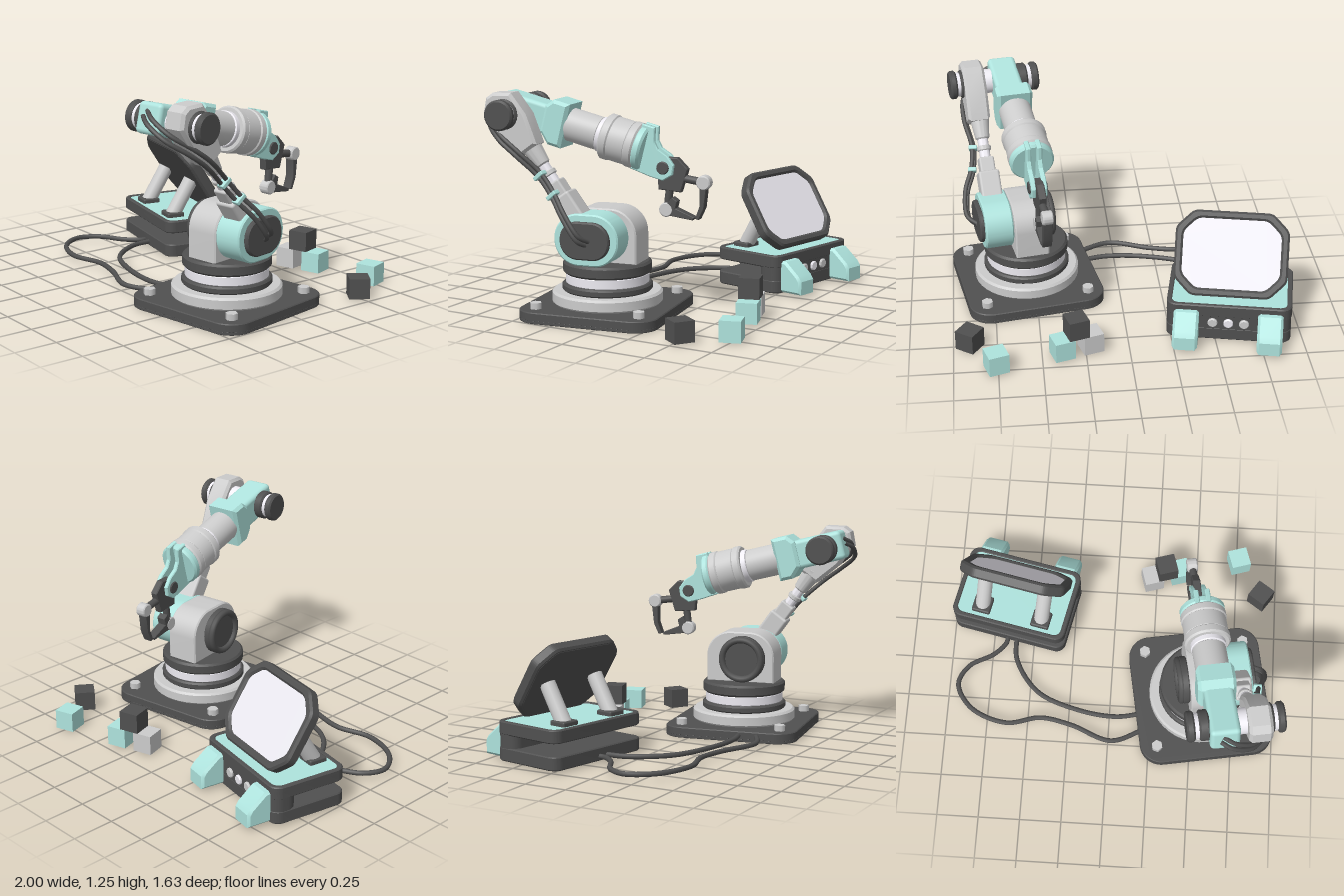
import * as THREE from 'three';
import { toCreasedNormals } from 'three/addons/utils/BufferGeometryUtils.js';
import { RoundedBoxGeometry } from 'three/addons/geometries/RoundedBoxGeometry.js';

const mat = (color) => new THREE.MeshStandardMaterial({ color });
const GREY = mat(0xcccccc), DARK = mat(0x505050), TEAL = mat(0xaee3dd), LIGHT = mat(0xeeecf3);
const V = (x, y, z) => new THREE.Vector3(x, y, z);

function add(parent, name, geo, material, x = 0, y = 0, z = 0) {
  const m = new THREE.Mesh(geo, material);
  m.name = name;
  m.position.set(x, y, z);
  parent.add(m);
  return m;
}
function group(parent, name, x, y, z, rx = 0, ry = 0) {
  const g = new THREE.Group();
  g.name = name;
  g.position.set(x, y, z);
  g.rotation.set(rx, ry, 0);
  parent.add(g);
  return g;
}
function rounded(w, h, r, cx = 0, cy = 0) {
  const s = new THREE.Shape(), x = w / 2 - r, y = h / 2 - r;
  s.absarc(cx + x, cy + y, r, 0, Math.PI / 2);
  s.absarc(cx - x, cy + y, r, Math.PI / 2, Math.PI);
  s.absarc(cx - x, cy - y, r, Math.PI, Math.PI * 1.5);
  s.absarc(cx + x, cy - y, r, Math.PI * 1.5, Math.PI * 2);
  return s;
}
function withHole(shape, hole) {
  shape.holes.push(hole);
  return shape;
}
const poly = (pts) => new THREE.Shape(pts.map((p) => new THREE.Vector2(p[0], p[1])));
// octagon of half-sizes w and h, its corners softened by a short curve
function octagon(w, h, c, k = 0.03) {
  const s = new THREE.Shape();
  const p = [[w - c, h], [c - w, h], [-w, h - c], [-w, c - h], [c - w, -h], [w - c, -h], [w, c - h], [w, h - c]].map((q) => new THREE.Vector2(...q));
  p.forEach((q, i) => {
    const a = p[(i + 7) % 8].clone().sub(q).setLength(k).add(q), b = p[(i + 1) % 8].clone().sub(q).setLength(k).add(q);
    if (i) s.lineTo(a.x, a.y); else s.moveTo(a.x, a.y);
    s.quadraticCurveTo(q.x, q.y, b.x, b.y);
  });
  return s;
}
// bevelled extrusion along z, starting at z = 0
function extrude(shape, depth, b = 0.008) {
  const g = new THREE.ExtrudeGeometry(shape, {
    depth: depth - 2 * b, bevelEnabled: b > 0, bevelSize: b, bevelThickness: b, bevelOffset: -b, bevelSegments: 1, curveSegments: 10,
  });
  return toCreasedNormals(g.translate(0, 0, b), 0.5);
}
// horizontal plate between two heights
const slab = (shape, y0, y1, b) => extrude(shape, y1 - y0, b).rotateX(-Math.PI / 2).translate(0, y0, 0);
// side profile given as (z, y), running from x0 to x1
const side = (shape, x0, x1, b) => extrude(shape, x1 - x0, b).rotateY(-Math.PI / 2).translate(x1, 0, 0);
// bevelled cylinder along y, and the same turned along x or -z
function drum(r, y0, y1, b = 0.01, r1 = r) {
  const p = [[0, y0], [r - b, y0], [r, y0 + b], [r1, y1 - b], [r1 - b, y1], [0, y1]];
  return toCreasedNormals(new THREE.LatheGeometry(p.map((q) => new THREE.Vector2(...q)), 40), 0.5);
}
const drumX = (r, x0, x1, b) => drum(r, x0, x1, b).rotateZ(-Math.PI / 2);
const drumZ = (r, d0, d1, b) => drum(r, d0, d1, b).rotateX(-Math.PI / 2);
const rod = (a, b, r) => new THREE.TubeGeometry(new THREE.LineCurve3(a, b), 1, r, 16);
const cable = (pts, r) => new THREE.TubeGeometry(new THREE.CatmullRomCurve3(pts), 90, r, 8);

function buildArm(root) {
  const arm = group(root, 'robotArm', 0.55, 0, 0.16, 0, 0.175);

  // base plate with hollow underside, bolts and turntable
  add(arm, 'basePlate', slab(rounded(0.81, 0.81, 0.13), 0.015, 0.065, 0.005), DARK);
  const well = new THREE.Path().absarc(0, 0, 0.35, 0, Math.PI * 2);
  add(arm, 'baseRim', slab(withHole(rounded(0.81, 0.81, 0.13), well), 0.002, 0.022, 0.003), DARK);
  for (const x of [-0.305, 0.305]) for (const z of [-0.305, 0.305])
    add(arm, 'baseBolt', new THREE.CylinderGeometry(0.034, 0.034, 0.04, 6), GREY, x, 0.08, z);
  add(arm, 'baseRing', drum(0.312, 0.063, 0.137, 0.012), GREY);
  add(arm, 'lowerTurntable', drum(0.255, 0.135, 0.18), DARK);
  add(arm, 'bearingRing', drum(0.236, 0.18, 0.235, 0.004), LIGHT);
  add(arm, 'upperTurntable', drum(0.25, 0.235, 0.305, 0.012), DARK);

  // shoulder: arched block, dished side disc and oval motor cover
  const arch = new THREE.Shape();
  arch.moveTo(-0.21, 0.3).lineTo(0.21, 0.3).lineTo(0.21, 0.46);
  arch.absarc(0.06, 0.46, 0.15, 0, Math.PI / 2);
  arch.absarc(-0.06, 0.46, 0.15, Math.PI / 2, Math.PI);
  add(arm, 'shoulderBlock', side(arch, -0.1, 0.1), GREY);
  add(arm, 'shoulderDisc', drumX(0.14, -0.145, -0.095), DARK, 0, 0.45, 0.02);
  add(arm, 'shoulderDiscRim', new THREE.TorusGeometry(0.12, 0.02, 10, 40).rotateY(Math.PI / 2), DARK, -0.147, 0.45, 0.02);
  add(arm, 'motorCover', side(rounded(0.378, 0.29, 0.143), 0.1, 0.265), TEAL, 0, 0.458, 0.02);
  add(arm, 'motorCap', side(rounded(0.29, 0.21, 0.1), 0.26, 0.292), DARK, 0, 0.458, 0.02);

  // upper arm, leaning forward from shoulder to elbow
  const upper = group(arm, 'upperArm', 0.18, 0.46, 0.02, 0.627);
  add(upper, 'upperArmSleeve', new RoundedBoxGeometry(0.125, 0.24, 0.12, 2, 0.015), GREY, 0, 0.165, 0);
  add(upper, 'upperArmStep', new RoundedBoxGeometry(0.09, 0.1, 0.09, 2, 0.012), GREY, 0, 0.32, 0);
  add(upper, 'upperArmRod', drum(0.032, 0.36, 0.6, 0.004), LIGHT);
  add(upper, 'rodCollar', drum(0.042, 0.41, 0.44, 0.005), GREY);
  add(upper, 'upperArmCone', drum(0.042, 0.48, 0.64, 0.008, 0.06), GREY);
  add(upper, 'elbowHousing', side(poly([[-0.06, -0.24], [0.06, -0.24], [0.105, -0.07], [0.105, 0.074], [0.04, 0.135],
    [-0.01, 0.135], [-0.1, 0.074], [-0.105, -0.07]]), -0.065, 0.065, 0.016), GREY, 0.007, 0.827, 0);

  // elbow axle and paired end discs
  const ey = 1.13, ez = 0.505;
  add(arm, 'elbowAxle', drumX(0.072, -0.17, 0.3, 0.004), LIGHT, 0, ey, ez);
  for (const [name, x0, x1] of [['elbowDiscOuterRight', -0.205, -0.16], ['elbowDiscInnerRight', -0.138, -0.08],
    ['elbowDiscInnerLeft', 0.245, 0.268], ['elbowDiscOuterLeft', 0.288, 0.33]])
    add(arm, name, drumX(0.085, x0, x1), DARK, 0, ey, ez);

  // forearm, sloping down toward the back
  const fore = group(arm, 'forearm', -0.008, ey, ez, -0.25);
  add(fore, 'elbowBlock', new RoundedBoxGeometry(0.165, 0.17, 0.32, 2, 0.025), TEAL, 0.004, 0, -0.045);
  add(fore, 'forearmCollar', side(poly([[-0.3, -0.13], [-0.22, -0.13], [-0.16, -0.07], [-0.16, 0.08], [-0.2, 0.125], [-0.3, 0.125]]),
    -0.105, 0.105, 0.018), TEAL);
  add(fore, 'forearmTube', drumZ(0.095, 0.28, 0.49), GREY);
  add(fore, 'forearmRing', drumZ(0.1, 0.485, 0.52, 0.004), LIGHT);
  add(fore, 'forearmDrum', drumZ(0.13, 0.515, 0.57), GREY);
  add(fore, 'forearmBarrel', drumZ(0.125, 0.565, 0.67, 0.004), GREY);
  add(fore, 'forearmLip', drumZ(0.13, 0.665, 0.72), GREY);
  add(fore, 'wristCap', drumZ(0.128, 0.715, 0.765, 0.012), TEAL);
  const fork = poly([[-0.72, 0.135], [-0.795, 0.135], [-0.81, 0.06], [-0.84, 0.025], [-0.9, 0.005], [-0.95, -0.035], [-0.955, -0.09], [-0.91, -0.135], [-0.83, -0.135], [-0.71, -0.125]]);
  for (const x of [-0.046, 0.018]) add(fore, 'wristFork', side(fork, x, x + 0.028, 0.005), TEAL);
  add(fore, 'wristPin', drumX(0.036, -0.054, 0.054, 0.005), DARK, 0, -0.066, -0.894);

  // gripper with two jointed fingers
  const grip = group(arm, 'gripper', -0.01, 0, 0);
  add(grip, 'gripperBody', side(poly([[-0.3, 0.83], [-0.34, 0.9], [-0.42, 0.9], [-0.48, 0.84], [-0.44, 0.71], [-0.31, 0.72]]), -0.022, 0.022, 0.005), DARK);
  const fingers = [
    ['rear', [-0.43, 0.79], [-0.57, 0.77], [[-0.59, 0.76], [-0.55, 0.75], [-0.55, 0.64], [-0.525, 0.57], [-0.545, 0.565], [-0.575, 0.63]]],
    ['front', [-0.37, 0.73], [-0.355, 0.61], [[-0.36, 0.64], [-0.39, 0.68], [-0.42, 0.66], [-0.41, 0.62], [-0.52, 0.575], [-0.51, 0.56], [-0.36, 0.58]]],
  ];
  for (const [tag, a, k, claw] of fingers) {
    add(grip, tag + 'FingerLink', rod(V(0, a[1], a[0]), V(0, k[1], k[0]), 0.022), DARK);
    add(grip, tag + 'FingerKnuckle', drumX(0.04, -0.03, 0.03, 0.006), GREY, 0, k[1], k[0]);
    add(grip, tag + 'FingerClaw', side(poly(claw), -0.028, 0.028, 0.003), DARK);
  }
}

function buildConsole(root) {
  const con = group(root, 'displayConsole', -0.615, 0, -0.37, 0, -0.21);

  // base: two slabs joined flush at the back, leaving a slot open to the front
  add(con, 'consoleBottom', slab(rounded(0.715, 0.468, 0.06), 0.015, 0.092, 0.006), DARK);
  add(con, 'consoleWaist', slab(rounded(0.71, 0.15, 0.06, 0, 0.1575), 0.08, 0.175, 0), DARK);
  add(con, 'consoleTop', slab(rounded(0.715, 0.468, 0.06), 0.165, 0.222, 0.006), DARK);
  add(con, 'consoleRim', slab(withHole(rounded(0.715, 0.468, 0.06), rounded(0.655, 0.41, 0.04)), 0.21, 0.24, 0.006), DARK);
  add(con, 'consolePanel', slab(rounded(0.665, 0.42, 0.04), 0.21, 0.235, 0), TEAL);

  // wedge feet and knobs on the back
  const foot = poly([[-0.19, 0.02], [-0.19, 0.21], [-0.26, 0.205], [-0.35, 0.13], [-0.37, 0.1], [-0.37, 0.02]]);
  for (const x of [-0.24, 0.24]) add(con, 'wedgeFoot', side(foot, x - 0.072, x + 0.072, 0.014), TEAL);
  for (const x of [-0.09, 0, 0.09])
    add(con, 'backKnob', drumZ(0.028, 0.22, 0.246, 0.005), x ? GREY : LIGHT, x, 0.13, 0);

  // tilted display and its two supports
  for (const x of [-0.18, 0.195]) {
    add(con, 'supportPad', new RoundedBoxGeometry(0.115, 0.035, 0.11, 2, 0.01), DARK, x, 0.245, 0.13);
    add(con, 'displaySupport', rod(V(x, 0.24, 0.13), V(x, 0.45, 0.005), 0.046), GREY);
  }
  const display = group(con, 'display', 0.003, 0.463, -0.025, 0.56);
  add(display, 'displayFrame', extrude(withHole(octagon(0.325, 0.245, 0.1), octagon(0.28, 0.2, 0.08)), 0.07, 0.012).translate(0, 0, -0.04), DARK);
  add(display, 'displayBack', extrude(octagon(0.315, 0.235, 0.097), 0.04, 0.01).translate(0, 0, -0.008), DARK);
  add(display, 'displayScreen', extrude(octagon(0.285, 0.205, 0.082), 0.015, 0).translate(0, 0, -0.026), LIGHT);
}

export function createModel() {
  const root = new THREE.Group();
  root.name = 'robotArmStation';
  buildArm(root);
  buildConsole(root);

  // arm hoses from elbow block to motor cap, with clamps
  const hose = [[0.63, 1.18, 0.765], [0.7, 1.15, 0.79], [0.81, 1.08, 0.76], [0.88, 1.0, 0.65], [0.88, 0.92, 0.54],
    [0.84, 0.8, 0.41], [0.85, 0.7, 0.32], [0.89, 0.6, 0.23], [0.885, 0.48, 0.14], [0.83, 0.445, 0.11]];
  for (const k of [-1, 1])
    add(root, 'armHose', cable(hose.map(([x, y, z]) => V(x + 0.006 * k, y + 0.014 * k, z - 0.01 * k)), 0.013), DARK);
  for (const i of [5, 6]) {
    const c = add(root, 'hoseClamp', new RoundedBoxGeometry(0.05, 0.025, 0.07, 2, 0.006), TEAL, ...hose[i]);
    c.rotation.x = 0.7;
  }

  // floor cables from console to arm base
  const floor = [
    [[-0.665, -0.17], [-0.67, -0.11], [-0.74, -0.03], [-0.89, 0.06], [-0.945, 0.18], [-0.85, 0.33], [-0.63, 0.41], [-0.42, 0.365], [-0.23, 0.4], [0.02, 0.485], [0.22, 0.4]],
    [[-0.61, -0.17], [-0.595, 0], [-0.45, 0.2], [-0.2, 0.3], [0.04, 0.33], [0.22, 0.295]],
  ];
  for (const pts of floor) add(root, 'floorCable', cable(pts.map(([x, z]) => V(x, 0.04, z)), 0.015), DARK);

  // loose cubes
  const s = 0.118;
  for (const [x, y, z, ry, m] of [[0.22, 0, -0.59, 0.29, GREY], [0.385, 0, -0.645, 0.29, TEAL], [0.303, s, -0.617, 0.29, DARK],
    [0.76, 0, -0.74, 0.3, TEAL], [0.905, 0, -0.51, -0.61, DARK]])
    add(root, 'looseCube', new THREE.BoxGeometry(s, s, s), m, x, y + s / 2 + 0.008, z).rotation.y = ry;
  return root;
}
